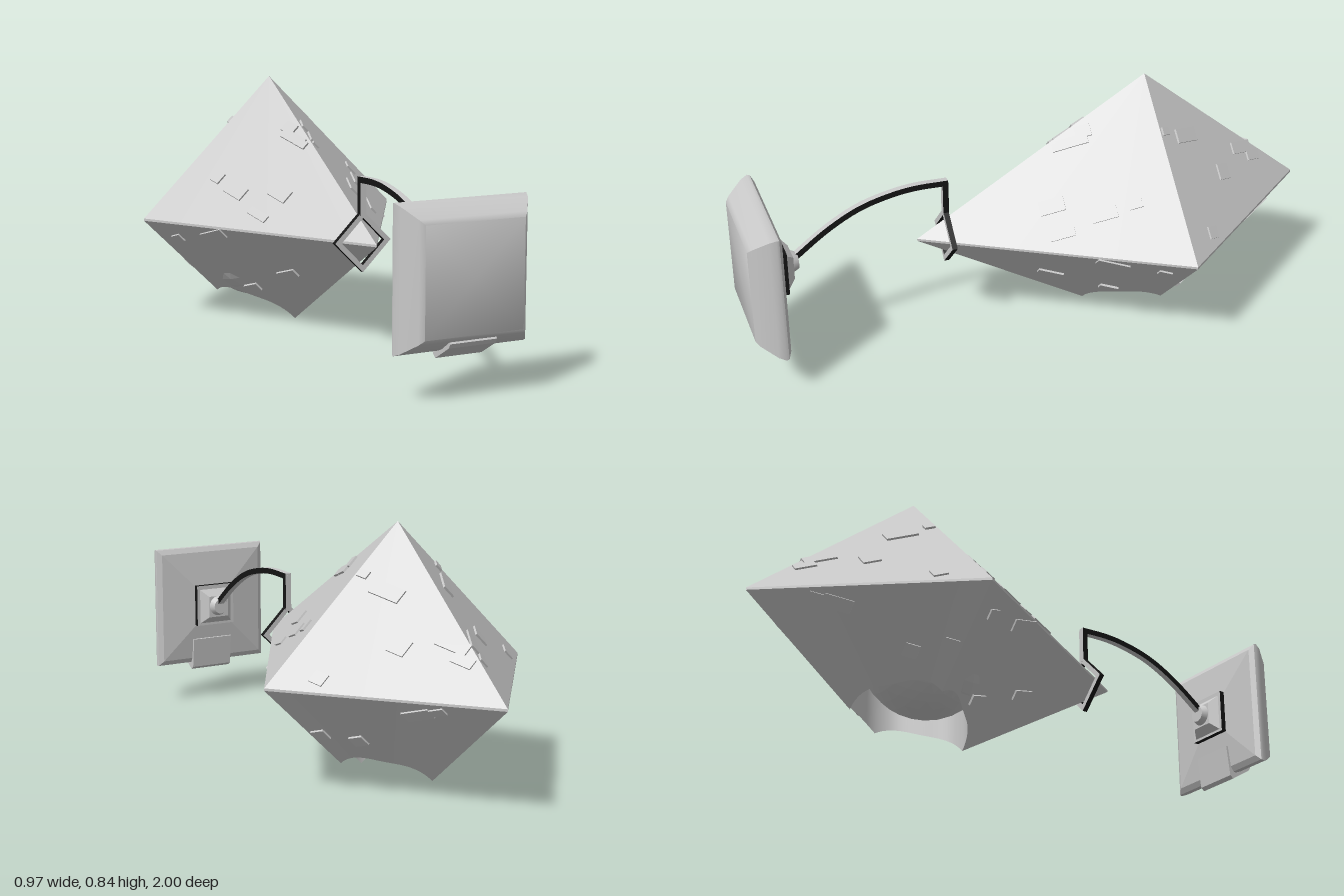
import * as THREE from 'three';
import { toCreasedNormals } from 'three/addons/utils/BufferGeometryUtils.js';

const CY = 0.36, CZ = -0.41, R = 0.485, FRONT = 0.81, BACK = 0.59;

function material(name, color) {
  const m = new THREE.MeshStandardMaterial({ color });
  m.name = name;
  return m;
}
const grey = material('lightGrey', 0xc8c8c8);
const dark = material('nearBlack', 0x141414);

function add(parent, name, geometry, mat = grey) {
  const mesh = new THREE.Mesh(geometry, mat);
  mesh.name = name;
  parent.add(mesh);
  return mesh;
}

// Skin a list of rings, each a function angle -> [radius, height]
function skin(rings, crease) {
  const N = 96, pos = [], index = [];
  for (const ring of rings) {
    for (let i = 0; i <= N; i++) {
      const t = (i / N) * Math.PI * 2, [r, y] = ring(t);
      pos.push(Math.cos(t) * r, y, CZ + Math.sin(t) * r);
    }
  }
  for (let j = 0; j < rings.length - 1; j++) {
    for (let i = 0; i < N; i++) {
      const a = j * (N + 1) + i, c = a + N + 1;
      index.push(a, a + 1, c, a + 1, c + 1, c);
    }
  }
  const g = new THREE.BufferGeometry();
  g.setAttribute('position', new THREE.Float32BufferAttribute(pos, 3));
  g.setIndex(index);
  return toCreasedNormals(g, crease);
}

// Radius of the rhombic equator, and of the hole bitten out of the bottom
function equator(t) {
  const s = Math.sin(t);
  return 1 / (Math.abs(Math.cos(t)) / R + Math.abs(s) / (s > 0 ? FRONT : BACK));
}
const bite = (t) => 0.195 + 0.014 * Math.cos(4 * t);

// Square cross-sections [half width, z], listed from back to front
function squareLoft(profile, crease) {
  const pts = profile.map(([h, z]) => new THREE.Vector2(h * Math.SQRT2, z));
  const g = new THREE.LatheGeometry(pts, 4, Math.PI / 4).rotateX(Math.PI / 2);
  g.deleteAttribute('uv');
  g.deleteAttribute('normal');
  return toCreasedNormals(g, crease).translate(0, 0.365, 0);
}

// Plate lying on one face of the crystal, thickened along the face normal
function facePlate(side, z0, y0, w, h) {
  const g = new THREE.BoxGeometry(0.016, h, w), p = g.attributes.position;
  const up = y0 > CY ? 1 : -1, ahead = z0 > CZ ? 1 : -1;
  const length = ahead > 0 ? FRONT : BACK, slope = -up * ahead * 0.3;
  const n = new THREE.Vector3(side / R, up / R, ahead / length).normalize();
  for (let i = 0; i < p.count; i++) {
    const z = z0 + p.getZ(i), y = y0 + p.getY(i) + slope * p.getZ(i);
    const x = R - up * (y - CY) - R * ahead * (z - CZ) / length;
    const d = p.getX(i) * side;
    p.setXYZ(i, side * x + n.x * d, y + n.y * d, z + n.z * d);
  }
  const flat = g.toNonIndexed();
  flat.computeVertexNormals();
  return flat;
}

// Outline of [z, y] points extruded across x, centred on x
function extrudeAcross(points, width, x = 0) {
  const shape = new THREE.Shape(points.map(([z, y]) => new THREE.Vector2(-z, y)));
  const g = new THREE.ExtrudeGeometry(shape, { depth: width, bevelEnabled: false });
  return g.rotateY(Math.PI / 2).translate(x - width / 2, 0, 0);
}

// Square or diamond outline around the origin
function square(radius, turn) {
  return [0, 1, 2, 3].map((k) => {
    const a = turn + k * Math.PI / 2;
    return new THREE.Vector2(radius * Math.cos(a), radius * Math.sin(a));
  });
}

export function createModel() {
  const model = new THREE.Group();
  model.name = 'crystalOnBracket';

  // Eight-sided crystal with a narrow waist, open at the bottom
  const rim = (t) => [bite(t), CY - R * (1 - bite(t) / equator(t))];
  add(model, 'crystalShell', skin([
    () => [0, CY + R],
    (t) => [equator(t), CY + 0.004],
    (t) => [equator(t), CY - 0.004],
    rim,
  ], 0.1));

  // Upright wall of the hollow, closed at the top
  add(model, 'crystalHollow', skin([rim, (t) => [bite(t), 0.24], () => [0, 0.24]], 0.6));

  // Faceted ball inside, just breaking through one lower face
  const ball = new THREE.IcosahedronGeometry(0.218, 5);
  ball.computeVertexNormals();
  add(model, 'innerBall', ball).position.set(-0.06, 0.28, -0.38);

  // Angular surface plates: z, y, width, height
  const plates = [
    [-0.14, 0.65, 0.1, 0.025], [-0.18, 0.68, 0.05, 0.03], [-0.1, 0.635, 0.05, 0.02],
    [-0.03, 0.48, 0.08, 0.035], [-0.18, 0.475, 0.08, 0.035], [-0.28, 0.51, 0.04, 0.03],
    [-0.04, 0.41, 0.08, 0.02], [-0.43, 0.69, 0.03, 0.02],
    [-0.52, 0.645, 0.09, 0.035], [-0.65, 0.5, 0.05, 0.04], [-0.77, 0.515, 0.09, 0.03],
    [-0.82, 0.475, 0.06, 0.025], [-0.52, 0.4, 0.04, 0.03],
    [-0.04, 0.2, 0.08, 0.025], [-0.18, 0.33, 0.1, 0.03], [-0.24, 0.12, 0.06, 0.025],
    [-0.34, 0.3, 0.04, 0.025], [-0.44, 0.2, 0.04, 0.03], [-0.53, 0.19, 0.04, 0.03],
    [-0.76, 0.315, 0.08, 0.03], [-0.81, 0.33, 0.06, 0.02],
  ];
  const details = new THREE.Group();
  details.name = 'surfacePlates';
  model.add(details);
  for (const side of [-1, 1]) {
    for (const p of plates) add(details, 'surfacePlate', facePlate(side, ...p));
  }

  // Diamond ring around the front tip, dark on its edges
  const diamond = new THREE.Shape(square(0.102, 0));
  diamond.holes.push(new THREE.Path(square(0.078, 0)));
  const ring = new THREE.ExtrudeGeometry(diamond, { depth: 0.018, bevelEnabled: false });
  add(model, 'tipRing', ring, [grey, dark]).position.set(0, CY, 0.29);

  // Arched flat arm and its upright drop, dark on the sides
  const arch = new THREE.CatmullRomCurve3([
    [0.375, 0.83], [0.47, 0.7], [0.527, 0.59], [0.556, 0.48], [0.565, 0.4], [0.563, 0.29],
  ].map(([y, z]) => new THREE.Vector3(0, y, z)));
  const upper = [], lower = [];
  for (let i = 0; i <= 24; i++) {
    const p = arch.getPoint(i / 24), t = arch.getTangent(i / 24);
    upper.push([p.z + t.y * 0.01, p.y - t.z * 0.01]);
    lower.unshift([p.z - t.y * 0.01, p.y + t.z * 0.01]);
  }
  add(model, 'arm', extrudeAcross([...upper, ...lower], 0.022), [dark, grey]);
  const drop = [[0.309, 0.445], [0.309, 0.565], [0.289, 0.565], [0.289, 0.445]];
  add(model, 'armDrop', extrudeAcross(drop, 0.022), [dark, grey]);

  // Square wall plate: softly rounded front, shallow pyramid back
  add(model, 'wallPlateFront', squareLoft([
    [0.223, 0.903], [0.225, 0.912], [0.216, 0.935], [0.182, 0.985], [0.168, 0.998], [0, 1],
  ], 1));
  add(model, 'wallPlateBack', squareLoft([[0, 0.866], [0.205, 0.892], [0.223, 0.903]], 0.1));

  // Stepped socket behind the plate, dark around its block
  const block = new THREE.ExtrudeGeometry(new THREE.Shape(square(0.077 * Math.SQRT2, Math.PI / 4)),
    { depth: 0.033, bevelEnabled: false });
  add(model, 'socketBlock', block, [grey, dark]).position.set(0, 0.368, 0.857);
  add(model, 'socketTaper', squareLoft([[0, 0.83], [0.04, 0.83], [0.065, 0.857], [0, 0.857]], 0.5));
  const collar = add(model, 'socketCollar', new THREE.CylinderGeometry(0.04, 0.028, 0.025, 20));
  collar.rotation.x = Math.PI / 2;
  collar.position.set(0, 0.368, 0.822);

  // Tab hooked under the plate
  add(model, 'plateTab', extrudeAcross([
    [0.985, 0.175], [0.975, 0.16], [0.9, 0.115], [0.887, 0.125], [0.875, 0.235], [0.92, 0.24],
  ], 0.16, 0.005));

  return model;
}
